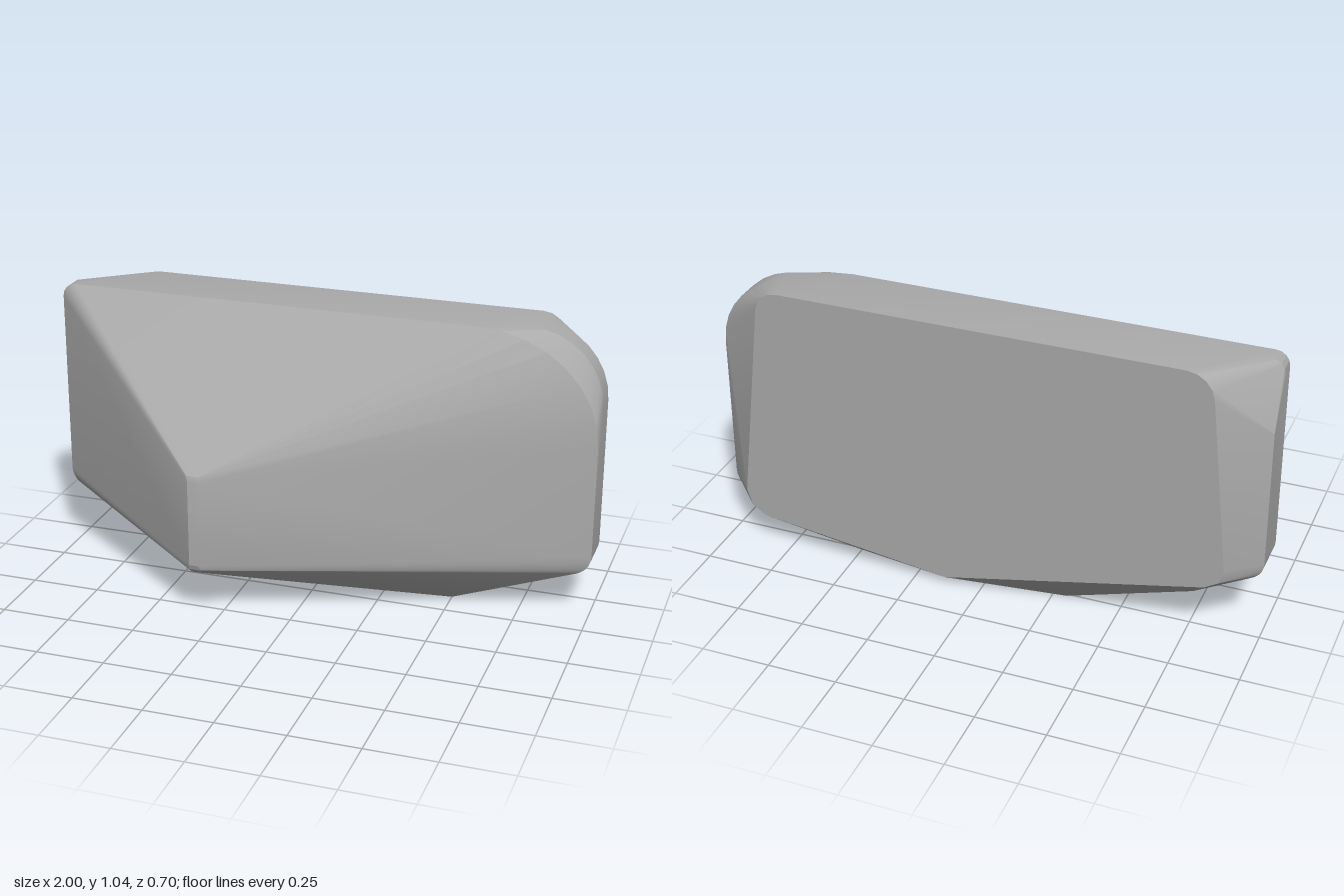
import * as THREE from 'three';
import { ConvexGeometry } from 'three/addons/geometries/ConvexGeometry.js';
import { toCreasedNormals } from 'three/addons/utils/BufferGeometryUtils.js';

// Points on a quarter ellipse or part of one, angles in degrees
function arc(cx, cy, rx, ry, from, to, steps) {
  const pts = [];
  for (let i = 0; i <= steps; i++) {
    const a = THREE.MathUtils.degToRad(from + (to - from) * i / steps);
    pts.push([cx + rx * Math.cos(a), cy + ry * Math.sin(a)]);
  }
  return pts;
}

export function createModel() {
  const group = new THREE.Group();
  group.name = 'facetedBlock';
  const stone = new THREE.MeshStandardMaterial({ color: 0xaaaaaa });
  stone.name = 'stone grey';

  const points = [];
  const ring = (z, outline) => outline.forEach(([x, y]) => points.push(new THREE.Vector3(x, y, z)));

  // Lower outline shared by the front and rear of the rim
  const lower = [
    ...arc(-0.93, 0.31, 0.07, 0.07, 180, 245, 5),
    [-0.76, 0.14], [-0.3, 0], [0.5, 0],
    ...arc(0.925, 0.235, 0.075, 0.075, 290, 360, 5),
  ];
  const smallTopCorner = arc(-0.95, 0.995, 0.05, 0.05, 90, 180, 4);
  const bigTopCorner = arc(0.73, 0.775, 0.27, 0.27, 0, 90, 8);

  // Front of the rim, with a wider rounded upper corner
  ring(-0.11, [...lower, ...arc(0.56, 0.65, 0.44, 0.395, 0, 90, 8), ...smallTopCorner]);
  // Middle of the rim
  ring(-0.17, [...bigTopCorner, ...smallTopCorner]);
  // Rear of the rim, where the back chamfers begin
  ring(-0.26, [...lower, ...bigTopCorner, [-1, 0.82]]);
  // Flat back face
  ring(-0.35, [
    [-0.885, 0.31], [-0.87, 0.26], [-0.82, 0.23], [0.13, 0.03],
    [0.84, 0.125], [0.89, 0.16], [0.91, 0.22],
    ...arc(0.74, 0.965, 0.08, 0.08, 5, 90, 4),
    ...arc(-0.72, 0.945, 0.1, 0.1, 90, 175, 4),
  ]);
  // Front ridge with softened ends
  ring(0.35, [[-0.34, 0.21], [-0.305, 0.21], [-0.34, 0.53], [-0.305, 0.53]]);
  ring(0.344, [[-0.345, 0.192], [-0.3, 0.192], [-0.345, 0.55], [-0.3, 0.55]]);
  ring(0.327, [[-0.34, 0.175], [-0.305, 0.175], [-0.335, 0.57], [-0.305, 0.57]]);
  // Corner of the facet under the ridge
  ring(0.19, [[-0.4, 0.115]]);

  const body = new THREE.Mesh(toCreasedNormals(new ConvexGeometry(points), 0.32), stone);
  body.name = 'body';
  group.add(body);
  return group;
}
